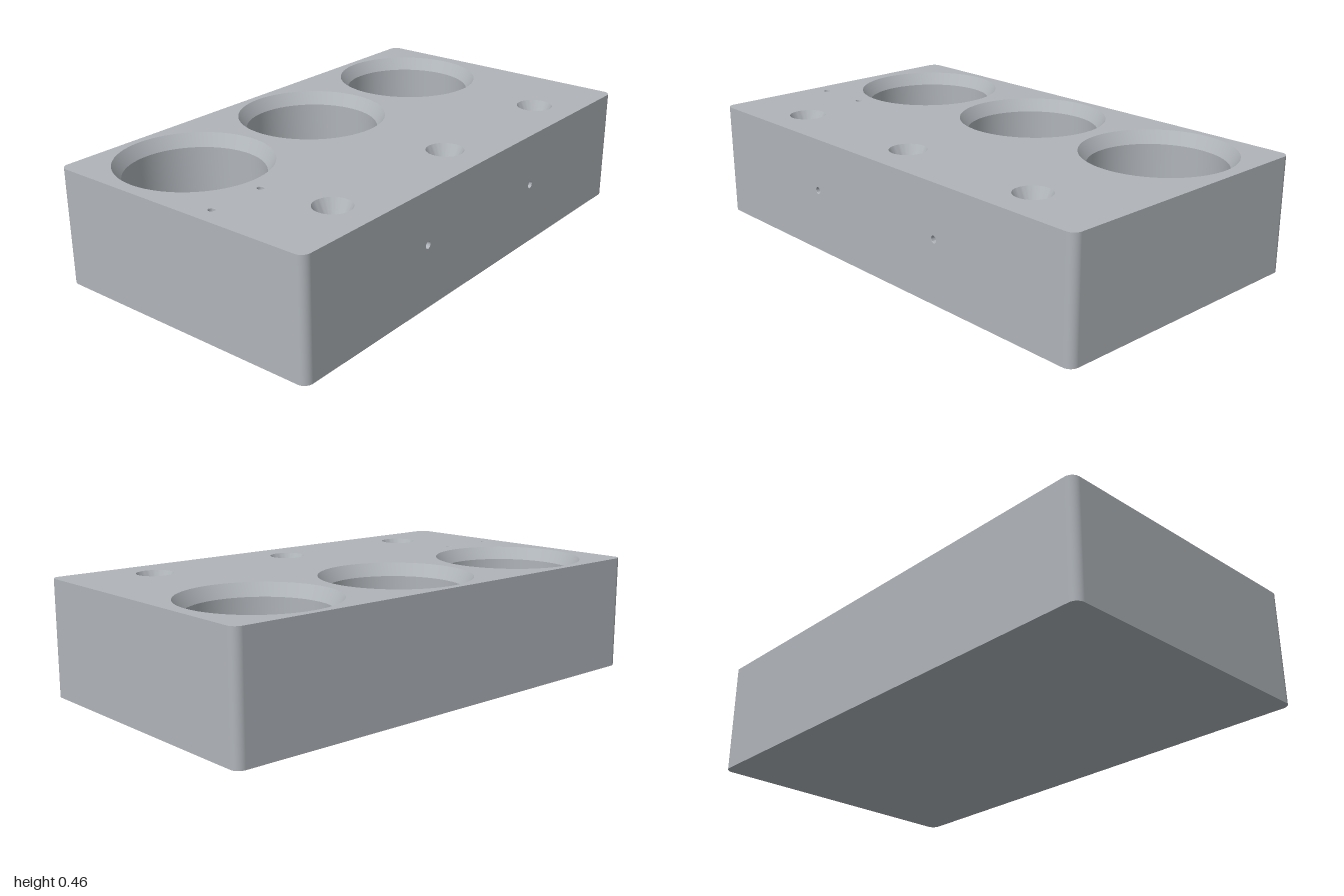
import * as THREE from 'three';
import { toCreasedNormals } from 'three/addons/utils/BufferGeometryUtils.js';

const W = 2, H = 0.46, D = 1.154, R = 0.035;
const metal = new THREE.MeshStandardMaterial({ color: 0xb0b5ba });
metal.name = 'satinGrey';

// Pockets: position on the face, rim radius, bore radius, chamfer depth, total depth
const topHoles = [];
for (const x of [-0.653, 0, 0.653]) {
  topHoles.push({ name: 'cupWell', x, y: 0.25, rim: 0.297, bore: 0.265, chamfer: 0.05, depth: 0.38 });
  topHoles.push({ name: 'countersunkHole', x, y: -0.403, rim: 0.072, bore: 0.042, chamfer: 0.06, depth: 0.3 });
}
const pin = { name: 'pinHole', rim: 0.014, bore: 0.013, chamfer: 0.002, depth: 0.1 };
for (const x of [-0.925, -0.692]) topHoles.push({ ...pin, x, y: -0.115 });
const frontHoles = [-0.346, 0.346].map((x) => ({ ...pin, x, y: 0.25 }));

function punch(shape, holes) {
  for (const h of holes) {
    const path = new THREE.Path();
    path.absarc(h.x, h.y, h.rim, 0, Math.PI * 2, true);
    shape.holes.push(path);
  }
  return shape;
}

function roundedRect(w, d, r) {
  const s = new THREE.Shape();
  const a = w / 2 - r, b = d / 2 - r, q = Math.PI / 2;
  s.absarc(a, b, r, 0, q);
  s.absarc(-a, b, r, q, 2 * q);
  s.absarc(-a, -b, r, 2 * q, 3 * q);
  s.absarc(a, -b, r, 3 * q, 4 * q);
  s.closePath();
  return s;
}

function add(parent, name, geometry) {
  const mesh = new THREE.Mesh(geometry, metal);
  mesh.name = name;
  parent.add(mesh);
  return mesh;
}

// Inward-facing pocket, opening along +y
function pocket(h) {
  const profile = [[h.rim, 0], [h.bore, -h.chamfer], [h.bore, -h.depth], [0, -h.depth]]
    .map(([r, y]) => new THREE.Vector2(r, y));
  return toCreasedNormals(new THREE.LatheGeometry(profile, 64), 0.4);
}

export function createModel() {
  const model = new THREE.Group();
  model.name = 'holderBlock';

  // Top and bottom faces
  add(model, 'topFace', new THREE.ShapeGeometry(punch(roundedRect(W, D, R), topHoles), 32)
    .rotateX(-Math.PI / 2).translate(0, H, 0));
  add(model, 'bottomFace', new THREE.ShapeGeometry(roundedRect(W, D, R), 32).rotateX(Math.PI / 2));

  // Front face with its two pin holes
  const a = W / 2 - R, b = D / 2 - R;
  const front = new THREE.Shape([[-a, 0], [a, 0], [a, H], [-a, H]].map((p) => new THREE.Vector2(...p)));
  add(model, 'frontFace', new THREE.ShapeGeometry(punch(front, frontHoles), 32).translate(0, 0, D / 2));

  // Back and side faces
  add(model, 'backFace', new THREE.PlaneGeometry(2 * a, H).rotateY(Math.PI).translate(0, H / 2, -D / 2));
  for (const s of [-1, 1]) {
    add(model, s > 0 ? 'leftFace' : 'rightFace',
      new THREE.PlaneGeometry(2 * b, H).rotateY(s * Math.PI / 2).translate(s * W / 2, H / 2, 0));
  }

  // Rounded vertical corners
  [[1, 1], [1, -1], [-1, -1], [-1, 1]].forEach(([sx, sz], i) => {
    add(model, 'roundedCorner',
      new THREE.CylinderGeometry(R, R, H, 64, 1, true, i * Math.PI / 2, Math.PI / 2)
        .translate(sx * a, H / 2, sz * b));
  });

  // Pockets in the top and the front
  for (const h of topHoles) add(model, h.name, pocket(h)).position.set(h.x, H, -h.y);
  for (const h of frontHoles) {
    const mesh = add(model, 'frontPinHole', pocket(h));
    mesh.rotation.x = Math.PI / 2;
    mesh.position.set(h.x, h.y, D / 2);
  }
  return model;
}
